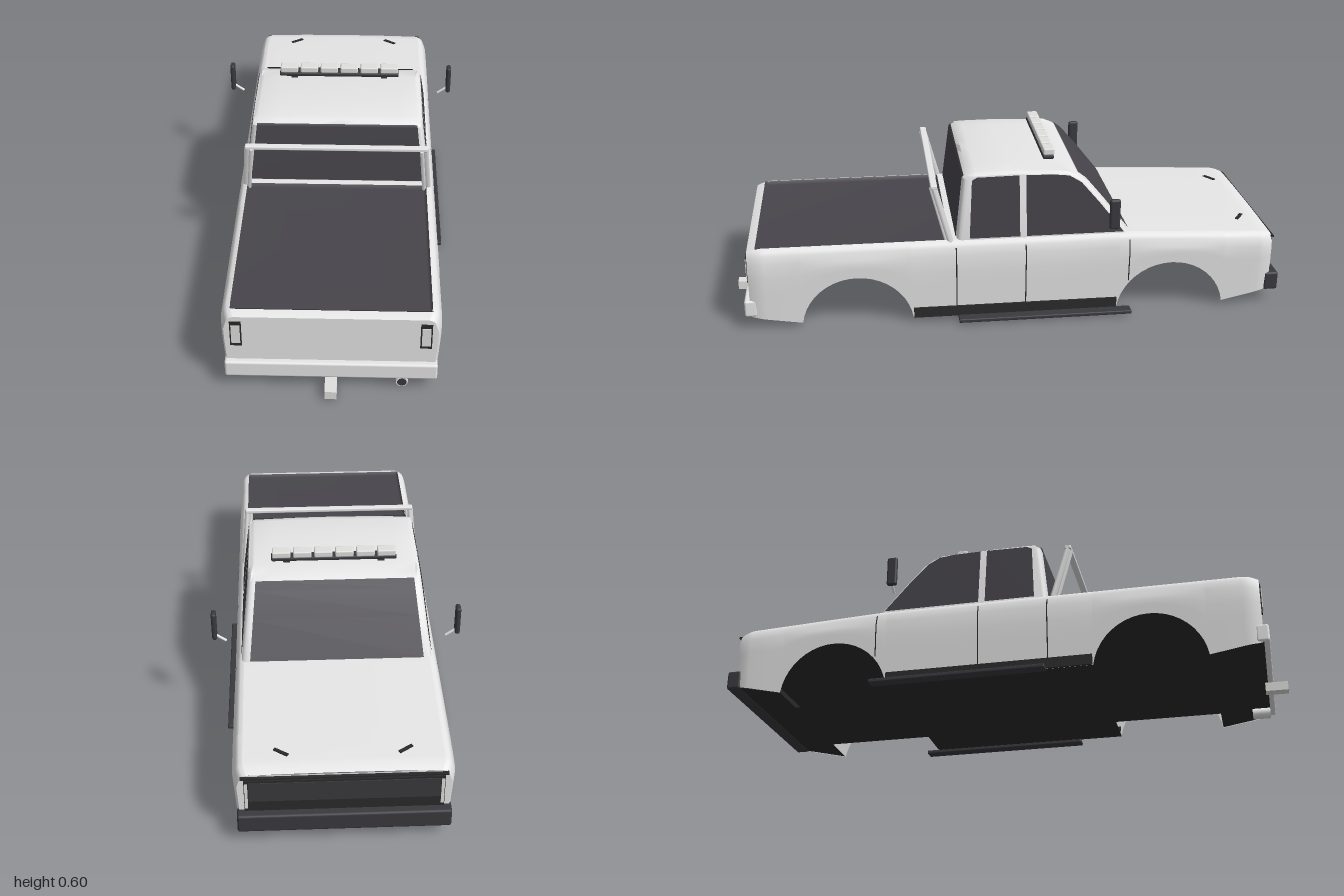
import * as THREE from 'three';
import { toCreasedNormals } from 'three/addons/utils/BufferGeometryUtils.js';
import { RoundedBoxGeometry } from 'three/addons/geometries/RoundedBoxGeometry.js';

export function createModel() {
  const truck = new THREE.Group();
  truck.name = 'pickupTruck';

  const mat = (name, color, side = THREE.FrontSide) => {
    const m = new THREE.MeshStandardMaterial({ color, side });
    m.name = name;
    return m;
  };
  const paint = mat('bodyPaint', 0xe6e6e6, THREE.DoubleSide);
  const glass = mat('darkGlass', 0x47454b, THREE.DoubleSide);
  const trim = mat('darkTrim', 0x3a393e);
  const black = mat('blackUnderside', 0x2a2a2a);
  const lamp = mat('lampWhite', 0xe0e0de);

  const add = (name, geo, material, x = 0, y = 0, z = 0) => {
    const m = new THREE.Mesh(geo, material);
    m.name = name;
    m.position.set(x, y, z);
    truck.add(m);
    return m;
  };
  const box = (name, material, x0, x1, y0, y1, z0, z1, r = 0) => add(name,
    r ? new RoundedBoxGeometry(x1 - x0, y1 - y0, z1 - z0, 2, r) : new THREE.BoxGeometry(x1 - x0, y1 - y0, z1 - z0),
    material, (x0 + x1) / 2, (y0 + y1) / 2, (z0 + z1) / 2);
  // Surface through rows of points
  const surf = (rows, flip = false) => {
    const n = rows[0].length, idx = [];
    for (let i = 0; i < rows.length - 1; i++) for (let j = 0; j < n - 1; j++) {
      const a = i * n + j, b = a + 1, c = a + n, d = c + 1;
      flip ? idx.push(a, c, b, b, c, d) : idx.push(a, b, c, b, d, c);
    }
    const g = new THREE.BufferGeometry();
    g.setAttribute('position', new THREE.Float32BufferAttribute(rows.flat(2), 3));
    g.setIndex(idx);
    g.computeVertexNormals();
    return g;
  };
  const bar = (name, material, a, b, r, sides = 8) => {
    const A = new THREE.Vector3(...a), B = new THREE.Vector3(...b), d = B.clone().sub(A);
    const m = add(name, new THREE.CylinderGeometry(r, r, d.length(), sides), material, ...A.add(B).multiplyScalar(0.5));
    m.quaternion.setFromUnitVectors(new THREE.Vector3(0, 1, 0), d.normalize());
  };

  // Body rules: bottom edge with wheel arches, top edge, width
  const arches = [0.55, -0.59], R = 0.2, CY = -0.01, NOSE = -0.965, TAIL = 0.93;
  const lerp = THREE.MathUtils.lerp;
  const bottom = z => {
    for (const c of arches) {
      const q = R * R - (z - c) ** 2;
      if (q > 0) return Math.max(0.02, CY + Math.sqrt(q));
    }
    if (z > 0.75) return lerp(0.02, 0.05, (z - 0.75) / (TAIL - 0.75));
    if (z < -0.79) return lerp(0.02, 0.06, (z + 0.79) / (NOSE + 0.79));
    return 0.02;
  };
  const round = z => Math.max(0, 1 - Math.min(z - NOSE, TAIL - z) / 0.06) ** 2;
  const top = z => (z > -0.43 ? 0.308 : lerp(0.308, 0.285, (z + 0.43) / -0.5)) - 0.012 * round(z);
  const width = z => 1 - 0.038 * round(z);
  const sideX = y => y < 0.24 ? lerp(0.35, 0.363, (y - 0.02) / 0.22) : 0.363 - (y - 0.24) * 0.15;
  const section = z => {
    const b = bottom(z), t = top(z), w = width(z), p = [];
    for (let k = 0; k <= 4; k++) { const y = lerp(b, t - 0.05, k / 4); p.push([sideX(y) * w, y, z]); }
    for (const [x, d] of [[0.353, 0.022], [0.348, 0.01], [0.34, 0.003], [0.328, 0]]) p.push([x * w, t - d, z]);
    return p;
  };
  const stations = [NOSE, -0.958, -0.945, -0.93, -0.915, -0.85, 0, -0.2, 0.2, 0.8, 0.87, 0.885, 0.9, 0.912, 0.922, TAIL];
  const a0 = Math.asin(0.03 / R);
  for (const c of arches) for (let i = 0; i <= 20; i++) stations.push(c + R * Math.cos(lerp(a0, Math.PI - a0, i / 20)));
  stations.sort((a, b) => a - b);
  for (const s of [1, -1])
    add(s > 0 ? 'leftBodySide' : 'rightBodySide',
      surf(stations.map(z => section(z).map(([x, y, q]) => [s * x, y, q])), s < 0), paint);

  // Hood, tailgate rim and bed front rim
  const deck = (name, zs) => add(name, surf(zs.map(z => {
    const x = 0.328 * width(z), y = top(z);
    return [x, x / 2, 0, -x / 2, -x].map((v, i) => [v, y + [0, 0.003, 0.004, 0.003, 0][i] * (z < -0.3 ? 1 : 0), z]);
  })), paint);
  deck('hood', [...stations.filter(z => z < -0.35), -0.33]);
  deck('tailgateRim', [0.9, 0.912, 0.922, TAIL]);
  deck('bedFrontRim', [0.18, 0.215]);

  // Nose and tailgate panels
  for (const z of [NOSE, TAIL]) {
    const half = section(z).map(p => new THREE.Vector2(p[0], p[1]));
    const outline = [...half, ...half.slice().reverse().map(p => new THREE.Vector2(-p.x, p.y))];
    const g = new THREE.ShapeGeometry(new THREE.Shape(outline));
    if (z < 0) g.rotateY(Math.PI);
    add(z < 0 ? 'nosePanel' : 'tailgate', g, paint, 0, 0, z);
  }

  // Underside with wheel notches, and the ceiling above the wheels
  const floor = (name, zs, w, ys) =>
    add(name, surf(zs.map((z, i) => [[-w, ys[i], z], [w, ys[i], z]])), black);
  floor('frontFloor', [NOSE, -0.788], 0.345, [0.06, 0.02]);
  floor('frontAxleFloor', [-0.788, -0.392], 0.2, [0.02, 0.02]);
  floor('middleFloor', [-0.392, 0.352], 0.35, [0.02, 0.02]);
  floor('rearAxleFloor', [0.352, 0.748], 0.2, [0.02, 0.02]);
  floor('rearFloor', [0.748, TAIL], 0.345, [0.02, 0.05]);
  floor('wheelWellCeiling', [-0.94, 0.91], 0.352, [0.193, 0.193]);

  // Shallow dark cargo bed, just below the rim
  add('bedLiner', surf([0.215, 0.225, 0.56, 0.89, 0.9].map((z, i) =>
    [0.328, 0.318, 0, -0.318, -0.328].map((x, j) => [x, i % 4 && j % 4 ? 0.294 : 0.307, z]))), glass);

  // Cab: side outline extruded across, narrowing towards a crowned roof
  const taper = y => 1 - 0.09 * (y - 0.31) / 0.24;
  const narrow = g => {
    const p = g.attributes.position;
    for (let i = 0; i < p.count; i++) p.setX(i, p.getX(i) * taper(p.getY(i)));
    return g;
  };
  const shape = pts => new THREE.Shape(pts.map(p => new THREE.Vector2(...p)));
  const screen = [[0.43, 0.31], [0.34, 0.425], [0.275, 0.502], [0.245, 0.525]];
  const cab = new THREE.ExtrudeGeometry(
    shape([[-0.19, 0.29], [0.435, 0.29], ...screen, [0.21, 0.54], [0.16, 0.548], [0, 0.553],
      [-0.12, 0.552], [-0.148, 0.545], [-0.163, 0.528], [-0.19, 0.31]]),
    { depth: 0.63, steps: 8, bevelEnabled: true, bevelSize: 0.016, bevelOffset: -0.016, bevelThickness: 0.02, bevelSegments: 3 });
  cab.translate(0, 0, -0.315).rotateY(Math.PI / 2);
  narrow(cab);
  const cp = cab.attributes.position;
  for (let i = 0; i < cp.count; i++)
    if (cp.getY(i) > 0.538) cp.setY(i, cp.getY(i) - 0.007 * (cp.getX(i) / 0.3) ** 2);
  add('cab', toCreasedNormals(cab, 0.6), paint);

  // Cab glass
  const windows = {
    FrontWindow: [[0.06, 0.312], [0.412, 0.312], [0.325, 0.422], [0.258, 0.5], [0.215, 0.526], [0.16, 0.532], [0.06, 0.534]],
    RearWindow: [[-0.145, 0.312], [0.036, 0.312], [0.036, 0.534], [-0.115, 0.532], [-0.133, 0.522]],
  };
  for (const s of [1, -1]) for (const [name, pts] of Object.entries(windows)) {
    const g = new THREE.ShapeGeometry(shape(pts)).rotateY(Math.PI / 2).translate(0.338, 0, 0);
    narrow(g);
    if (s < 0) g.rotateY(Math.PI).scale(1, 1, -1);
    add((s > 0 ? 'left' : 'right') + name, g, glass);
  }
  const pane = (name, pts, w) => add(name, surf(pts.map(([z, y]) =>
    [[w * taper(y), y, z], [-w * taper(y), y, z]])), glass);
  pane('windshield', screen.map(([z, y]) => [-z - 0.004, y + 0.003]), 0.307);
  pane('rearWindow', [[0.1935, 0.312], [0.1675, 0.528], [0.1605, 0.536]], 0.316);

  // Door seams, sills, running boards, mirrors
  for (const s of [1, -1]) {
    const side = s > 0 ? 'left' : 'right';
    for (const [z, y0] of [[0.195, 0.03], [-0.055, 0.03], [-0.432, 0.125]]) {
      const strip = [-0.002, 0.002].map(d => [y0, 0.15, 0.24, 0.258, 0.286].map(y =>
        [s * ((y > 0.27 ? 0.353 : sideX(y)) + 0.0015), y, z + d]));
      add(side + 'DoorSeam', surf(strip, s < 0), black);
    }
    box(side + 'Sill', black, s * 0.355 - 0.004, s * 0.355 + 0.004, 0.02, 0.058, -0.39, 0.35);
    box(side + 'RunningBoard', trim, s * 0.376 - 0.022, s * 0.376 + 0.022, 0.008, 0.022, -0.44, 0.19, 0.004);
    box(side + 'Mirror', trim, s * 0.43 - 0.009, s * 0.43 + 0.009, 0.365, 0.476, -0.376, -0.338, 0.008);
    bar(side + 'MirrorArm', paint, [s * 0.39, 0.354, -0.36], [s * 0.426, 0.38, -0.36], 0.005);
    // Roll bar legs and inner braces
    bar(side + 'RollBarLeg', paint, [s * 0.334, 0.298, 0.212], [s * 0.316, 0.507, 0.268], 0.011, 4);
    bar(side + 'RollBarBrace', paint, [s * 0.32, 0.298, 0.226], [s * 0.303, 0.5, 0.278], 0.007, 4);
    // Tail lamps
    box(side + 'TailLampFrame', black, s * 0.309 - 0.019, s * 0.309 + 0.019, 0.177, 0.278, 0.928, 0.934);
    box(side + 'TailLamp', lamp, s * 0.309 - 0.0145, s * 0.309 + 0.0145, 0.19, 0.264, 0.931, 0.937);
    // Hood vents
    const vent = box(side + 'HoodVent', black, s * 0.203 - 0.027, s * 0.203 + 0.027, 0.285, 0.293, -0.886, -0.874);
    vent.rotation.y = -s * 0.6;
    // Light trim at the grille ends
    box(side + 'GrilleEnd', lamp, s * 0.318 - 0.005, s * 0.318 + 0.005, 0.135, 0.24, -0.974, -0.966);
  }
  box('rollBarTop', paint, -0.325, 0.325, 0.499, 0.513, 0.256, 0.28, 0.004);

  // Grille with a dark line under the hood edge
  box('hoodEdgeLine', black, -0.335, 0.335, 0.259, 0.266, -0.975, -0.963);
  box('grilleFrame', black, -0.325, 0.325, 0.122, 0.25, -0.971, -0.963);
  box('grilleInsert', trim, -0.31, 0.31, 0.165, 0.243, -0.974, -0.968);

  // Bumpers, hitch, exhaust
  box('frontBumper', trim, -0.35, 0.35, 0.053, 0.122, -1, -0.948, 0.008);
  box('rearBumper', paint, -0.35, 0.35, 0.053, 0.115, 0.905, 0.95, 0.008);
  box('hitch', lamp, -0.02, 0.02, 0.006, 0.038, 0.92, 1);
  bar('exhaustPipe', paint, [0.235, 0.021, 0.865], [0.235, 0.021, 0.93], 0.02, 20);
  add('exhaustOpening', new THREE.CircleGeometry(0.016, 20), trim, 0.235, 0.021, 0.931);

  // Roof light bar
  box('lightBarRail', trim, -0.225, 0.225, 0.558, 0.573, -0.172, -0.132, 0.005);
  for (const x of [-0.17, 0.17]) box('lightBarFoot', trim, x - 0.012, x + 0.012, 0.54, 0.56, -0.16, -0.144);
  for (let i = 0; i < 6; i++) {
    const x = (i - 2.5) * 0.0755;
    box('roofLamp', lamp, x - 0.033, x + 0.033, 0.572, 0.596, -0.174, -0.134, 0.005);
  }
  return truck;
}
